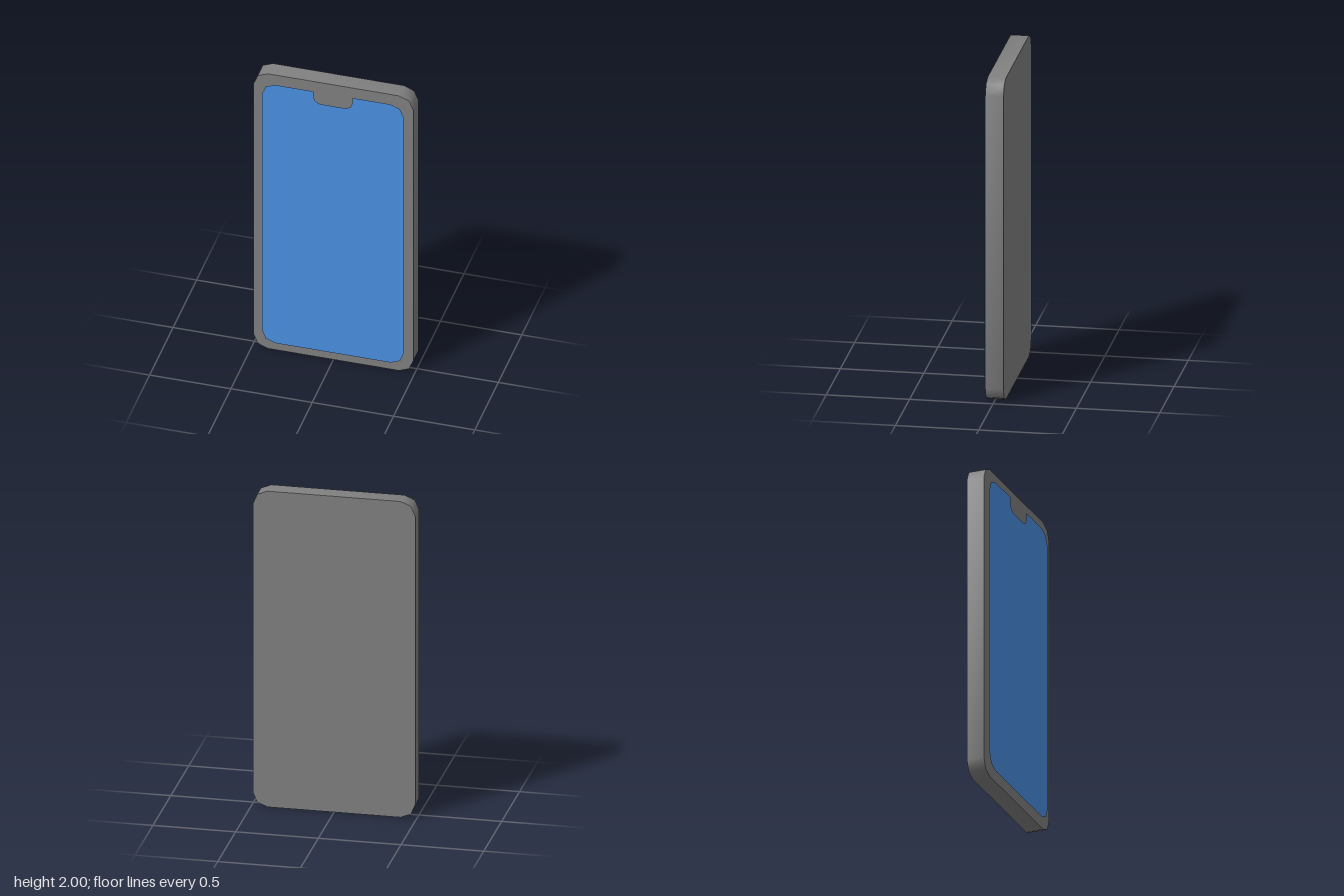
import * as THREE from 'three';
import { toCreasedNormals } from 'three/addons/utils/BufferGeometryUtils.js';

// Corner points of a quarter arc in two segments, from angle a, turning by sign * 90 degrees
function corner(cx, cy, r, a, sign = 1) {
  return [0, 1, 2].map((i) => {
    const t = a + (sign * i * Math.PI) / 4;
    return new THREE.Vector2(cx + r * Math.cos(t), cy + r * Math.sin(t));
  });
}

// Rectangle with two-segment corners; extra points go into the top edge, right to left
function panelShape(halfWidth, bottom, top, r, topEdge = []) {
  const x = halfWidth - r;
  return new THREE.Shape([
    ...corner(-x, bottom + r, r, Math.PI),
    ...corner(x, bottom + r, r, Math.PI * 1.5),
    ...corner(x, top - r, r, 0),
    ...topEdge,
    ...corner(-x, top - r, r, Math.PI / 2),
  ]);
}

export function createModel() {
  const model = new THREE.Group();
  model.name = 'phone';

  // Casing: rounded slab, smooth around its rim and sharp at front and back
  const back = -0.061, front = 0.048;
  const slab = new THREE.ExtrudeGeometry(panelShape(0.491, 0, 2, 0.088), {
    depth: front - back,
    bevelEnabled: false,
  });
  slab.translate(0, 0, back);
  const casing = new THREE.Mesh(
    toCreasedNormals(slab, 1),
    new THREE.MeshStandardMaterial({ color: 0x808080 })
  );
  casing.name = 'casing';
  model.add(casing);

  // Screen: thin sheet just in front of the casing, with a notch in its top edge
  const top = 1.937, notchHalf = 0.12, notchBottom = 1.853, r = 0.044;
  const notch = [
    new THREE.Vector2(notchHalf, top),
    ...corner(notchHalf - r, notchBottom + r, r, 0, -1),
    ...corner(-notchHalf + r, notchBottom + r, r, -Math.PI / 2, -1),
    new THREE.Vector2(-notchHalf, top),
  ];
  const screen = new THREE.Mesh(
    new THREE.ShapeGeometry(panelShape(0.436, 0.058, top, 0.08, notch)),
    new THREE.MeshStandardMaterial({ color: 0x4a90e2, side: THREE.DoubleSide })
  );
  screen.name = 'screen';
  screen.position.z = 0.061;
  model.add(screen);

  return model;
}
